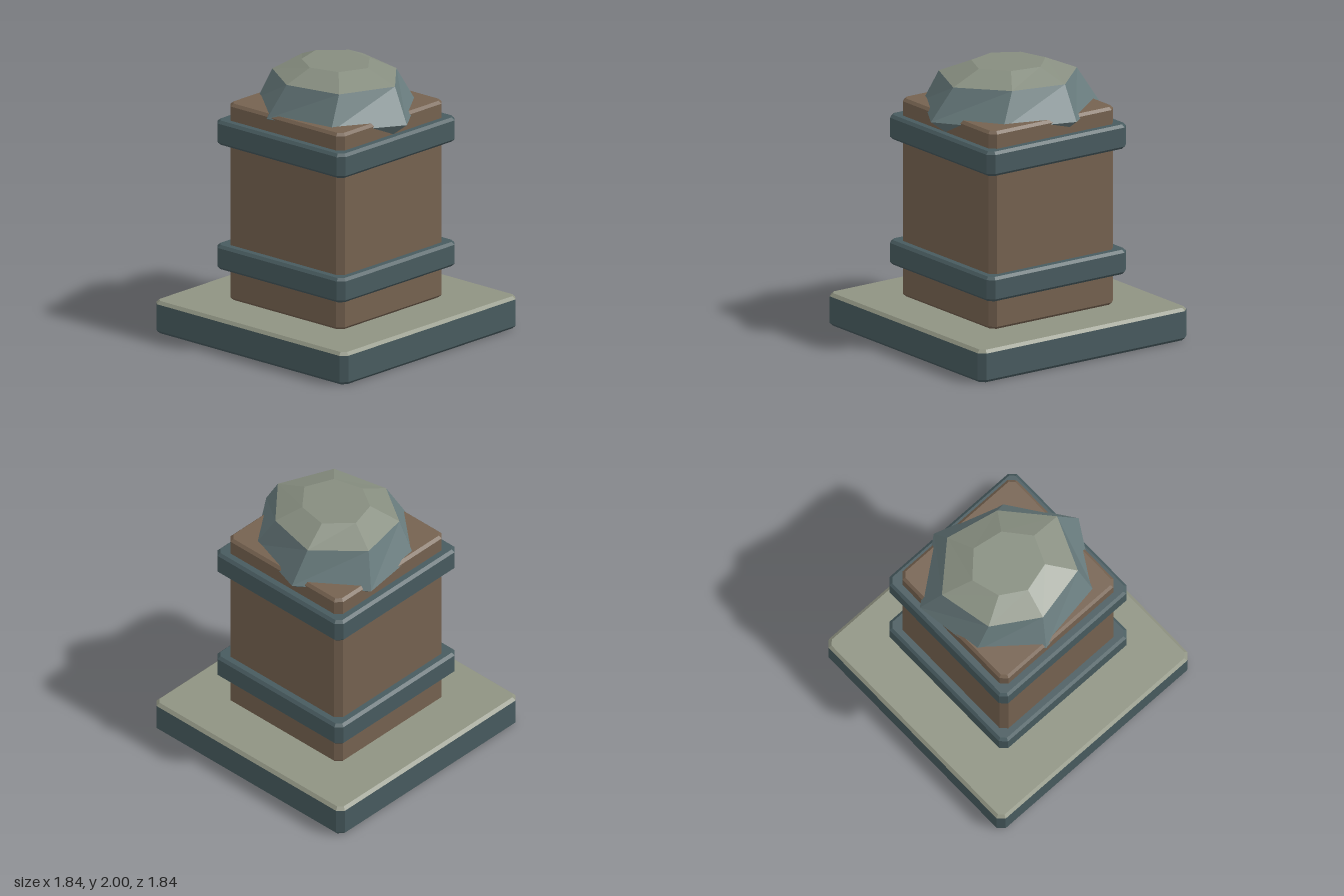
import * as THREE from 'three';

const paint = (color) => new THREE.MeshStandardMaterial({ color, flatShading: true });

// Skins a stack of equal-length rings (bottom to top); each ring is { y, pts: [[x, z], ...] }.
function loft(name, rings, material, capBottom = true, capTop = true) {
  const pos = [];
  const n = rings[0].pts.length;
  const at = (r, i) => [r.pts[i % n][0], r.y, r.pts[i % n][1]];
  const tri = (a, b, c) => pos.push(...a, ...b, ...c);
  for (let k = 0; k < rings.length - 1; k++) {
    const lo = rings[k], hi = rings[k + 1];
    for (let i = 0; i < n; i++) {
      tri(at(lo, i), at(hi, i), at(lo, i + 1));
      tri(at(lo, i + 1), at(hi, i), at(hi, i + 1));
    }
  }
  const first = rings[0], last = rings[rings.length - 1];
  for (let i = 0; i < n; i++) {
    if (capBottom) tri([0, first.y, 0], at(first, i), at(first, i + 1));
    if (capTop) tri([0, last.y, 0], at(last, i + 1), at(last, i));
  }
  const geometry = new THREE.BufferGeometry();
  geometry.setAttribute('position', new THREE.Float32BufferAttribute(pos, 3));
  geometry.computeVertexNormals();
  const mesh = new THREE.Mesh(geometry, material);
  mesh.name = name;
  return mesh;
}

// Square outline with cut corners, ordered from +x towards +z.
function square(y, half, cut) {
  const s = half - cut;
  return {
    y,
    pts: [[half, -s], [half, s], [s, half], [-s, half], [-half, s], [-half, -s], [-s, -half], [s, -half]],
  };
}

// Rings of a square block with every edge chamfered.
function blockRings(y0, y1, half, cut, bevel) {
  const inner = cut - bevel * 0.586;
  return [
    square(y0, half - bevel, inner),
    square(y0 + bevel, half, cut),
    square(y1 - bevel, half, cut),
    square(y1, half - bevel, inner),
  ];
}

export function createModel() {
  const group = new THREE.Group();
  const slate = paint(0x485b5f);
  const wood = paint(0x756250);
  const moss = paint(0x8f9382);
  const rockSide = paint(0x687b7d);
  const rockTop = paint(0x868d7f);

  // Plinth: dark sides with a pale top slab
  const plinth = blockRings(0, 0.24, 0.92, 0.045, 0.022);
  group.add(loft('plinthSides', plinth.slice(0, 3), slate, true, false));
  group.add(loft('plinthTop', plinth.slice(2), moss, false, true));

  // Square post with two collars
  group.add(loft('post', blockRings(0.24, 1.7, 0.55, 0.045, 0.02), wood));
  group.add(loft('lowerBand', blockRings(0.47, 0.65, 0.615, 0.045, 0.02), slate));
  group.add(loft('upperBand', blockRings(1.395, 1.575, 0.615, 0.045, 0.02), slate));

  // Irregular seven-sided boulder sunk into the top of the post
  const rim = {
    y: 1.67,
    pts: [[0.68, 0], [0.39, 0.48], [-0.15, 0.56], [-0.53, 0.24], [-0.6, -0.27], [-0.15, -0.61], [0.37, -0.44]],
  };
  const shoulder = {
    y: 1.91,
    pts: [[0.52, -0.05], [0.35, 0.35], [-0.07, 0.44], [-0.4, 0.23], [-0.48, -0.17], [-0.16, -0.46], [0.24, -0.37]],
  };
  const crown = {
    y: 2,
    pts: [[0.28, -0.03], [0.19, 0.18], [-0.03, 0.24], [-0.21, 0.13], [-0.27, -0.08], [-0.1, -0.25], [0.13, -0.21]],
  };
  const underside = { y: 1.47, pts: rim.pts.map(([x, z]) => [x * 0.6, z * 0.6]) };
  group.add(loft('boulderSides', [underside, rim, shoulder], rockSide, true, false));
  group.add(loft('boulderCap', [shoulder, crown], rockTop, false, true));

  return group;
}
